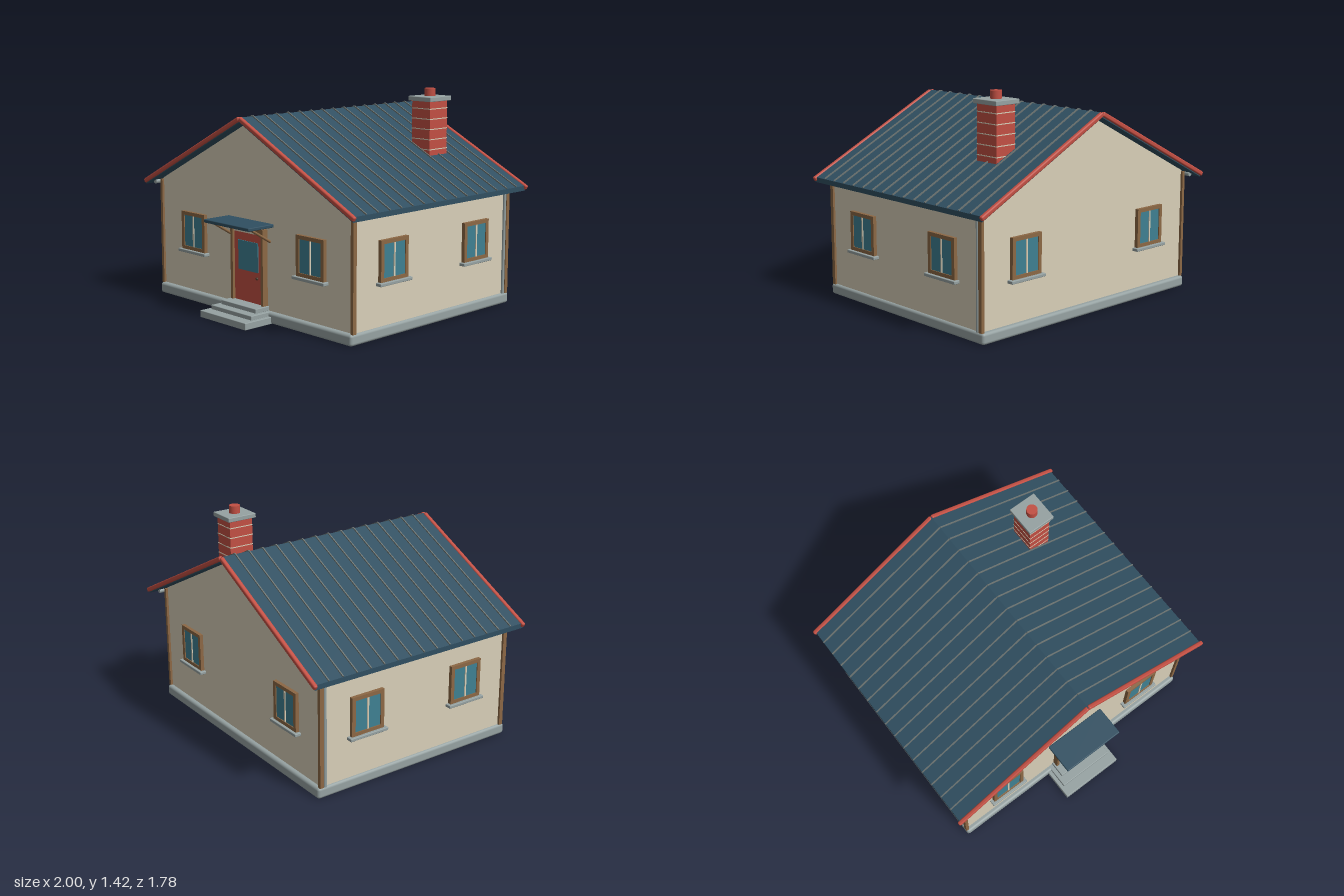
import * as THREE from 'three';
import { RoundedBoxGeometry } from 'three/addons/geometries/RoundedBoxGeometry.js';

const mat = (name, color) => {
  const m = new THREE.MeshStandardMaterial({ color });
  m.name = name;
  return m;
};

export function createModel() {
  const house = new THREE.Group();
  house.name = 'house';
  const cream = mat('cream plaster', 0xd8cfb8);
  const blue = mat('roof blue', 0x304f61);
  const red = mat('brick red', 0xc24f43);
  const wood = mat('wood brown', 0x8c6845);
  const glass = mat('window teal', 0x3f8092);
  const stone = mat('stone grey', 0x96a2a2);
  const seamGrey = mat('seam grey', 0x6c7472);
  const dark = mat('handle dark', 0x4a3a2c);

  const add = (name, geo, m, x, y, z, parent = house) => {
    const mesh = new THREE.Mesh(geo, m);
    mesh.name = name;
    mesh.position.set(x, y, z);
    parent.add(mesh);
    return mesh;
  };
  // box given by its minimum and maximum corners
  const box = (name, m, [x0, y0, z0], [x1, y1, z1], parent = house, r = 0) => {
    const s = [x1 - x0, y1 - y0, z1 - z0];
    const geo = r ? new RoundedBoxGeometry(...s, 2, r) : new THREE.BoxGeometry(...s);
    return add(name, geo, m, (x0 + x1) / 2, (y0 + y1) / 2, (z0 + z1) / 2, parent);
  };
  // outline in x and y, extruded from z0 to z1
  const slab = (name, m, points, z0, z1) => {
    const shape = new THREE.Shape(points.map(([x, y]) => new THREE.Vector2(x, y)));
    const geo = new THREE.ExtrudeGeometry(shape, { depth: z1 - z0, bevelEnabled: false });
    return add(name, geo, m, 0, 0, z0);
  };

  const MID = -0.065, FRONT = 0.65, BACK = -0.78, SIDE = 0.905;

  // foundation, walls and gables
  box('foundation', stone, [-0.92, 0, -0.81], [0.92, 0.072, 0.682], house, 0.018);
  box('walls', cream, [-SIDE, 0.06, BACK], [SIDE, 0.8, FRONT]);
  slab('gables', cream, [[-0.91, 0.8], [0.91, 0.8], [0, 1.255]], BACK - 0.004, FRONT + 0.004);

  // corner posts
  for (const sx of [-1, 1]) {
    for (const z of [FRONT, BACK - 0.004]) {
      add('cornerPost', new THREE.BoxGeometry(0.022, 0.72, 0.028), wood, sx * 0.909, 0.43, z + 0.002);
    }
  }

  // roof
  const roofY = x => 1.28 - 0.5 * Math.abs(x);
  const E = 0.985, T = 0.032;
  slab('roof', blue, [[-E, roofY(E)], [-E, roofY(E) - T], [0, 1.28 - T], [E, roofY(E) - T],
    [E, roofY(E)], [0, 1.28]], -0.875, 0.735);

  // sloped bars: standing seams and end trim
  const slope = Math.atan(0.5);
  const slopeBar = (name, m, sx, reach, h, d, lift, z, r) => {
    const len = reach / Math.cos(slope);
    const geo = r ? new RoundedBoxGeometry(len, h, d, 2, r) : new THREE.BoxGeometry(len, h, d);
    const bar = add(name, geo, m, sx * reach / 2, roofY(reach / 2) + lift, z);
    bar.rotation.z = -sx * slope;
  };
  for (const sx of [-1, 1]) {
    for (let i = 0; i < 15; i++) {
      slopeBar('roofSeam', seamGrey, sx, E, 0.012, 0.008, 0.002, -0.778 + i * 0.1005);
    }
    for (const z of [-0.876, 0.733]) {
      slopeBar('gableTrim', red, sx, 0.997, 0.031, 0.028, -0.008, z, 0.01);
    }
  }

  // gutters and downpipes
  for (const sx of [-1, 1]) {
    const gutter = add('gutter', new THREE.CylinderGeometry(0.016, 0.016, 1.53, 12), stone, sx * 0.932, 0.774, MID);
    gutter.rotation.x = Math.PI / 2;
    add('downpipe', new THREE.CylinderGeometry(0.011, 0.011, 0.7, 12), stone, sx * 0.911, 0.42, -0.755);
  }

  // windows, built facing +z with the wall at z = 0
  const addWindow = (x, z, turn) => {
    const w = new THREE.Group();
    w.name = 'window';
    const shape = new THREE.Shape();
    shape.moveTo(-0.12, -0.128).lineTo(0.12, -0.128).lineTo(0.12, 0.128).lineTo(-0.12, 0.128);
    const hole = new THREE.Path();
    hole.moveTo(-0.094, -0.104).lineTo(-0.094, 0.104).lineTo(0.094, 0.104).lineTo(0.094, -0.104);
    shape.holes.push(hole);
    add('windowFrame', new THREE.ExtrudeGeometry(shape, { depth: 0.024, bevelEnabled: false }), wood, 0, 0, 0, w);
    box('windowPane', glass, [-0.095, -0.105, 0], [0.095, 0.105, 0.018], w);
    box('windowMullion', cream, [-0.006, -0.104, 0.01], [0.006, 0.104, 0.023], w);
    box('windowSill', stone, [-0.14, -0.147, -0.005], [0.14, -0.127, 0.042], w, 0.004);
    w.position.set(x, 0.473, z);
    w.rotation.y = turn;
    house.add(w);
  };
  for (const s of [-1, 1]) {
    addWindow(s * 0.56, FRONT, 0);
    addWindow(s * 0.56, BACK, Math.PI);
    for (const t of [-1, 1]) addWindow(s * SIDE, MID + t * 0.385, s * Math.PI / 2);
  }

  // door
  for (const s of [-1, 1]) {
    add('doorJamb', new THREE.BoxGeometry(0.021, 0.5, 0.04), wood, s * 0.145, 0.335, FRONT + 0.02);
  }
  box('doorLintel', wood, [-0.155, 0.562, FRONT], [0.155, 0.588, FRONT + 0.04]);
  box('doorHeadStrip', cream, [-0.135, 0.545, FRONT], [0.135, 0.562, FRONT + 0.025]);
  box('door', red, [-0.135, 0.095, FRONT], [0.135, 0.545, FRONT + 0.022]);
  box('doorPane', glass, [-0.094, 0.303, FRONT + 0.02], [0.094, 0.493, FRONT + 0.027]);
  add('doorKnob', new THREE.SphereGeometry(0.009, 12, 8), dark, 0.086, 0.266, FRONT + 0.028);

  // steps
  [[0.22, 0.045, 0.893], [0.195, 0.072, 0.822], [0.167, 0.1, 0.762]].forEach(([hw, top, z], i) => {
    box('step', stone, [-hw, i ? top - 0.03 : 0, 0.64], [hw, top, z], house, 0.004);
  });

  // canopy over the door with two brackets
  box('canopy', blue, [-0.216, 0.608, FRONT], [0.216, 0.63, 0.855], house, 0.005);
  for (const x of [-0.187, 0.187]) {
    const path = new THREE.LineCurve3(new THREE.Vector3(x, 0.612, 0.815), new THREE.Vector3(x, 0.515, 0.655));
    add('canopyBracket', new THREE.TubeGeometry(path, 1, 0.009, 8), wood, 0, 0, 0);
  }

  // chimney
  const cx = 0.5, cz = -0.47;
  add('chimneyStack', new THREE.BoxGeometry(0.154, 0.4, 0.17), red, cx, 1.15, cz);
  for (let i = 0; i < 5; i++) {
    add('mortarCourse', new THREE.BoxGeometry(0.158, 0.006, 0.174), cream, cx, 1.03 + i * 0.066, cz);
  }
  add('chimneyCap', new RoundedBoxGeometry(0.192, 0.03, 0.208, 2, 0.004), stone, cx, 1.357, cz);
  add('chimneyPot', new THREE.CylinderGeometry(0.036, 0.036, 0.055, 20), red, cx, 1.395, cz);

  return house;
}
